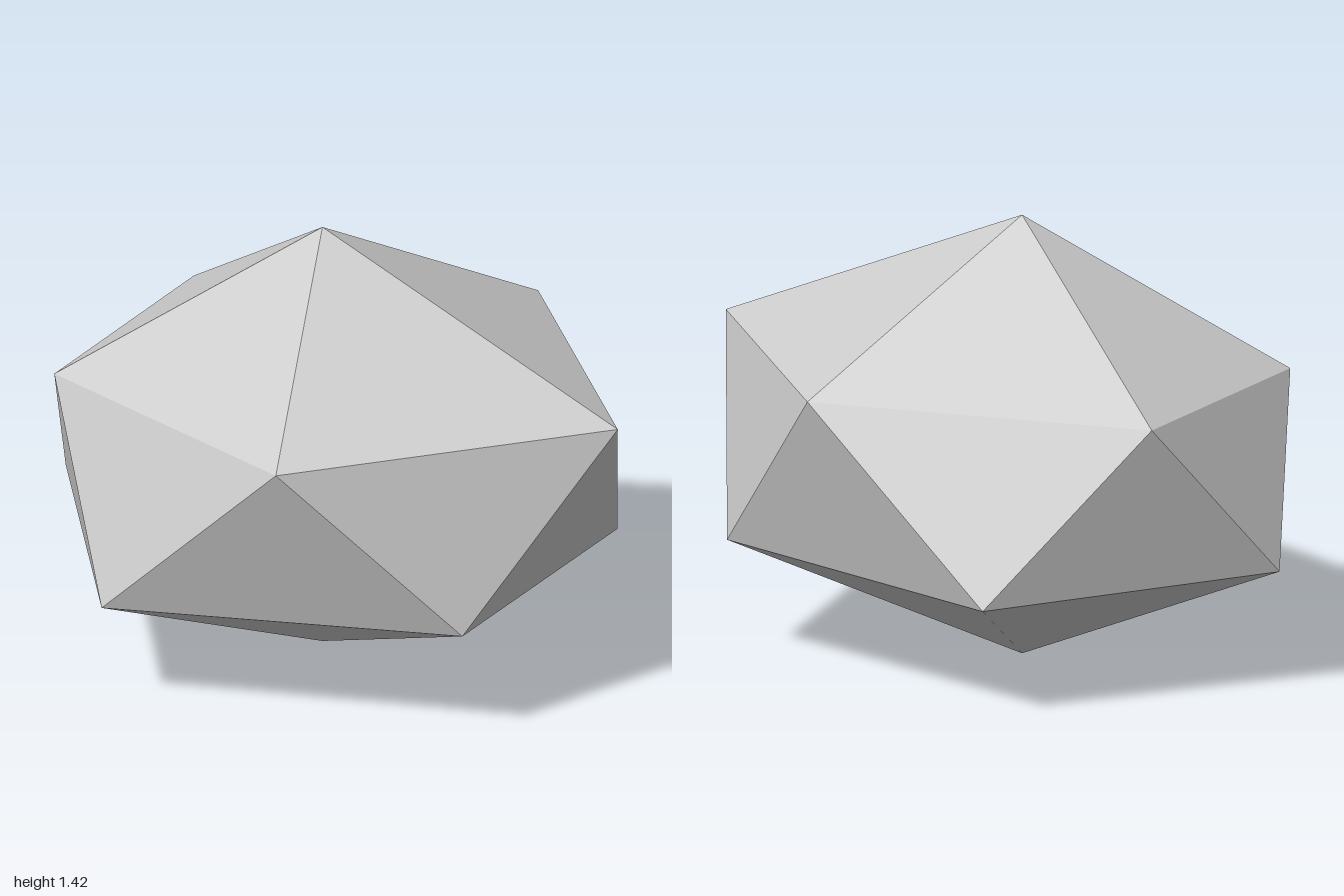
import * as THREE from 'three';

// Irregular twenty-sided stone: two five-point rings between a top and a bottom point.
export function createModel() {
  const top = [-0.07, 1.42, -0.015];
  const bottom = [-0.07, 0, -0.015];

  // Rings run counter-clockwise seen from above; each lower point sits between two upper ones
  const upper = [[1, 0.97, -0.015], [0.24, 0.96, -0.82], [-0.79, 0.92, -0.45], [-0.79, 0.92, 0.415], [0.25, 0.965, 0.82]];
  const lower = [[0.715, 0.375, -0.5], [-0.39, 0.365, -0.815], [-1, 0.39, -0.015], [-0.39, 0.36, 0.805], [0.715, 0.38, 0.46]];

  const positions = [];
  const face = (a, b, c) => positions.push(...a, ...b, ...c);
  for (let i = 0; i < 5; i++) {
    const j = (i + 1) % 5;
    face(top, upper[i], upper[j]);        // cap
    face(upper[i], lower[i], upper[j]);   // band, pointing down
    face(lower[i], lower[j], upper[j]);   // band, pointing up
    face(bottom, lower[j], lower[i]);     // underside
  }

  // Unshared corners keep every facet flat
  const geometry = new THREE.BufferGeometry();
  geometry.setAttribute('position', new THREE.Float32BufferAttribute(positions, 3));
  geometry.computeVertexNormals();

  const stoneGrey = new THREE.MeshStandardMaterial({ color: 0xcccccc, flatShading: true });
  stoneGrey.name = 'stone grey';

  const stone = new THREE.Mesh(geometry, stoneGrey);
  stone.name = 'stone';

  const group = new THREE.Group();
  group.name = 'facetedStone';
  group.add(stone);
  return group;
}
